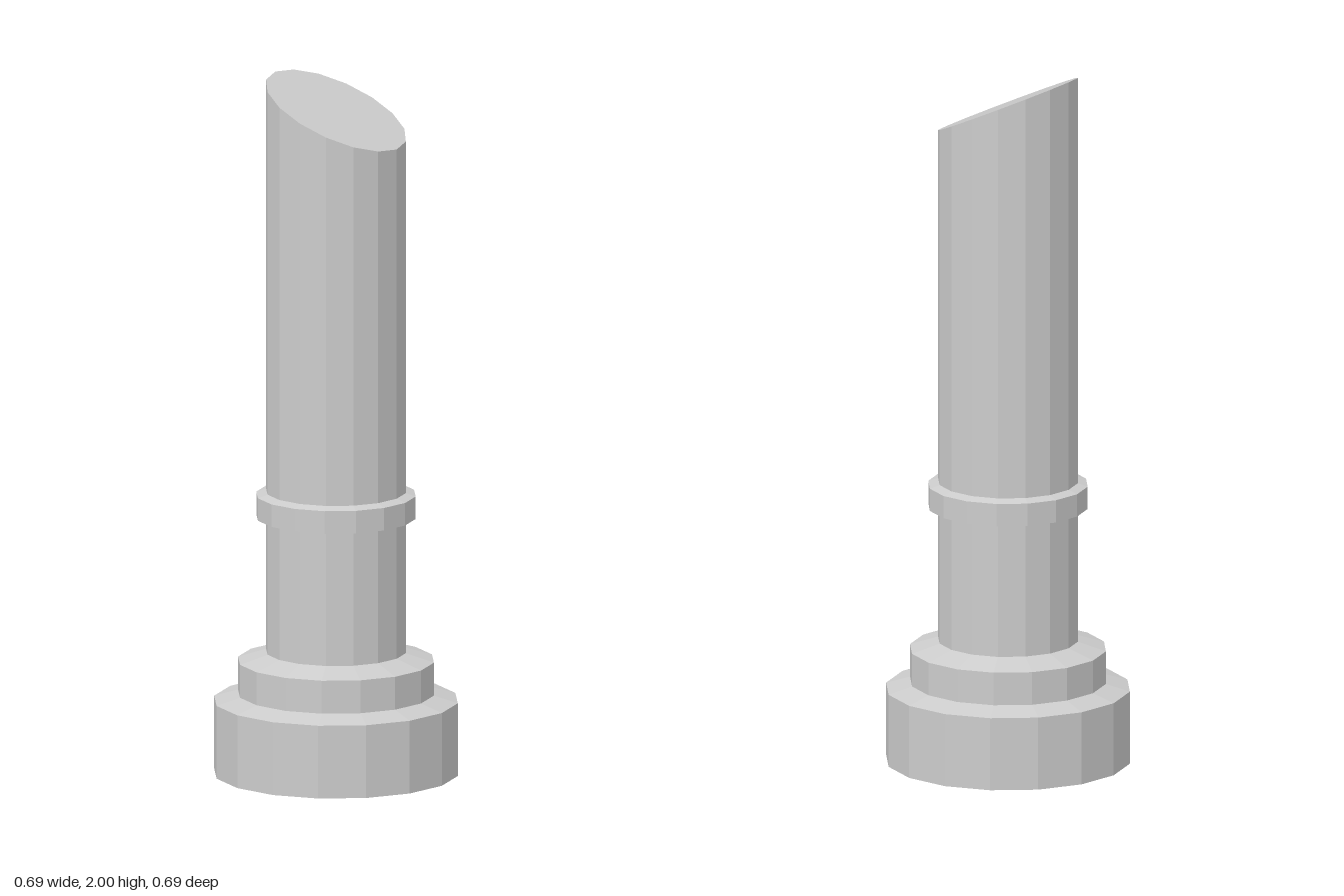
import * as THREE from 'three';

const SIDES = 16;
const material = new THREE.MeshStandardMaterial({ color: 0xcccccc, flatShading: true });

// Faceted turned part from [radius, height] pairs, listed bottom to top
function turned(name, profile) {
  const points = profile.map(([r, y]) => new THREE.Vector2(r, y));
  const mesh = new THREE.Mesh(new THREE.LatheGeometry(points, SIDES), material);
  mesh.name = name;
  return mesh;
}

export function createModel() {
  const model = new THREE.Group();
  model.name = 'slantCutColumn';

  // Stepped foot with bevelled shoulders
  const base = turned('base', [
    [0, 0], [0.347, 0], [0.347, 0.21], [0.279, 0.23],
    [0.279, 0.325], [0.199, 0.35],
  ]);

  // Collar ring around the shaft
  const collar = turned('collar', [
    [0.199, 0.738], [0.227, 0.738], [0.227, 0.803], [0.199, 0.812],
  ]);

  // Shaft, its closed top sheared into a slope falling towards +x
  const top = 1.91;
  const shaft = turned('shaft', [[0.199, 0.35], [0.199, top], [0, top]]);
  const pos = shaft.geometry.attributes.position;
  for (let i = 0; i < pos.count; i++) {
    if (pos.getY(i) > 1) pos.setY(i, top - pos.getX(i) * 0.09 / 0.199);
  }
  shaft.geometry.computeVertexNormals();

  model.add(base, collar, shaft);
  return model;
}
